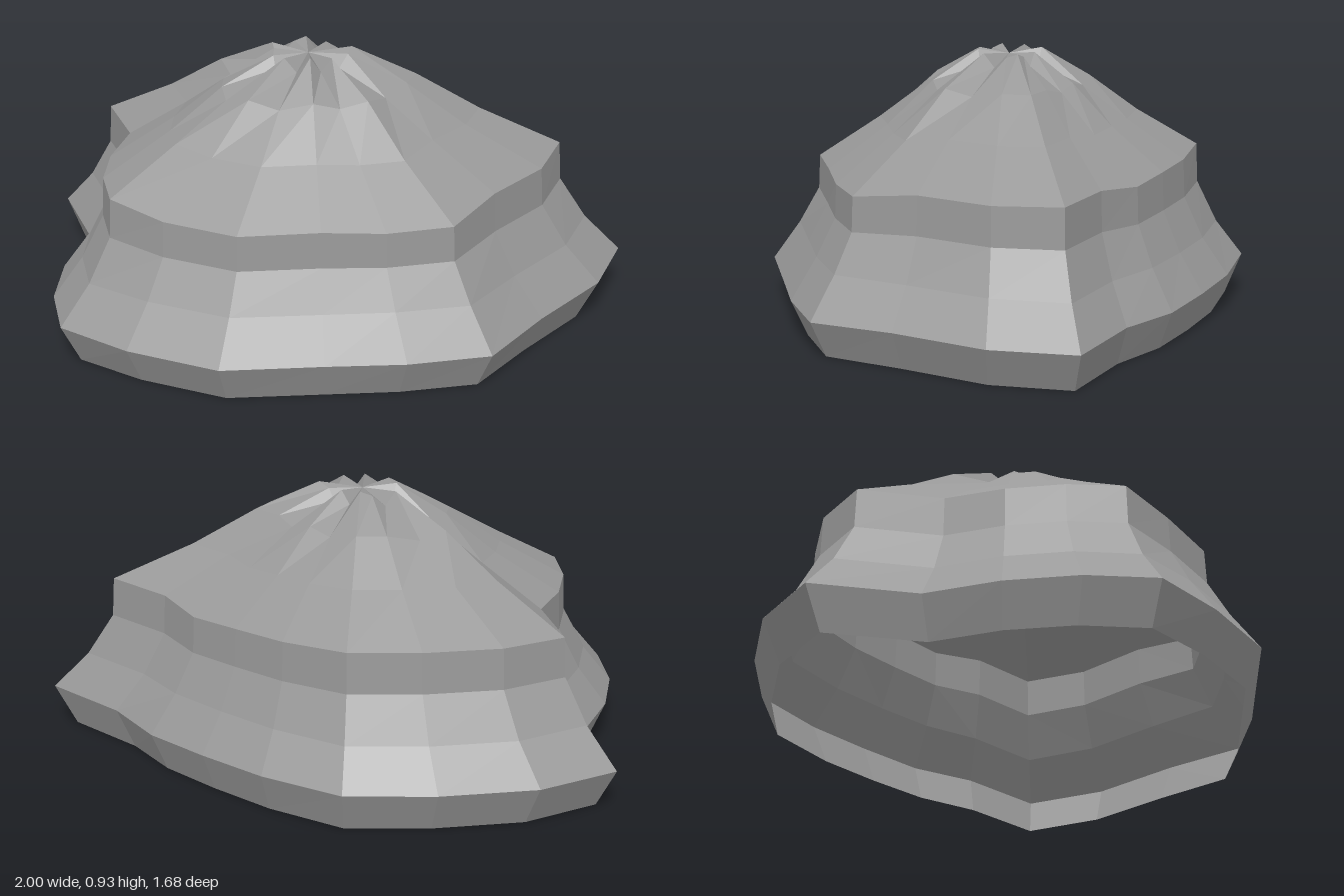
import * as THREE from 'three';

// Summit position; every ring is the outline scaled about it
const CX = -0.11, CZ = 0.025, SUMMIT = 0.912;

// Widest outline [x, z], running from +x round by the front
const OUTLINE = [
  [1, 0.025], [0.875, 0.3], [0.635, 0.56], [0.435, 0.8], [0.155, 0.835],
  [-0.11, 0.835], [-0.45, 0.835], [-0.745, 0.68], [-0.965, 0.51], [-1, 0.27],
  [-0.975, 0.025], [-0.895, -0.225], [-0.99, -0.57], [-0.74, -0.74], [-0.415, -0.82],
  [-0.11, -0.845], [0.165, -0.705], [0.38, -0.55], [0.58, -0.385], [0.735, -0.19],
];
const N = OUTLINE.length;

// Uneven height of the ledge edge, per spoke
const EDGE = [0.555, 0.548, 0.55, 0.52, 0.515, 0.525, 0.52, 0.525, 0.553, 0.55,
  0.55, 0.555, 0.555, 0.56, 0.56, 0.56, 0.55, 0.545, 0.535, 0.555];
// Spokes that sink into creases near the summit
const CREASES = [2, 4, 6, 8, 11, 13, 16, 18];

function ring(scale, height) {
  return OUTLINE.map(([x, z], i) => new THREE.Vector3(
    CX + (x - CX) * scale,
    typeof height === 'function' ? height(i) : height,
    CZ + (z - CZ) * scale));
}

// Joins successive rings with quads, and optionally closes to a point
function skin(rings, tip) {
  const pos = [];
  const tri = (...pts) => pts.forEach((p) => pos.push(p.x, p.y, p.z));
  for (let i = 0; i < N; i++) {
    const j = (i + 1) % N;
    for (let k = 0; k + 1 < rings.length; k++) {
      const lo = rings[k], hi = rings[k + 1];
      tri(lo[i], hi[i], lo[j]);
      tri(lo[j], hi[i], hi[j]);
    }
    if (tip) {
      const top = rings[rings.length - 1];
      tri(top[i], tip, top[j]);
    }
  }
  const geo = new THREE.BufferGeometry();
  geo.setAttribute('position', new THREE.Float32BufferAttribute(pos, 3));
  geo.computeVertexNormals();
  return geo;
}

export function createModel() {
  const group = new THREE.Group();
  group.name = 'rockMound';
  const stone = new THREE.MeshStandardMaterial({
    color: 0x999999, flatShading: true, side: THREE.DoubleSide,
  });
  stone.name = 'grey stone';

  const foot = ring(0.93, 0);
  const rim = ring(1, (i) => 0.135 + (EDGE[i] - 0.54) * 0.25);
  const slope = ring(0.885, 0.27);
  const neck = ring(0.8, (i) => 0.41 + (EDGE[i] - 0.54) * 0.5);
  const edge = ring(0.793, (i) => EDGE[i]);
  const mid = ring(0.535, (i) => 0.69 + (EDGE[i] - 0.55) * 0.6);
  const upper = ring(0.335, (i) => (CREASES.includes(i) ? 0.805 : 0.825));
  const crown = ring(0.135, (i) => (CREASES.includes(i) ? 0.878 : 0.922 + 0.008 * Math.cos(i * 2.5)));

  const parts = {
    footBand: skin([foot, rim]),
    lowerSlope: skin([rim, slope, neck]),
    ledgeWall: skin([neck, edge]),
    peak: skin([edge, mid, upper, crown], new THREE.Vector3(CX, SUMMIT, CZ)),
  };
  for (const [name, geo] of Object.entries(parts)) {
    const mesh = new THREE.Mesh(geo, stone);
    mesh.name = name;
    group.add(mesh);
  }
  return group;
}
